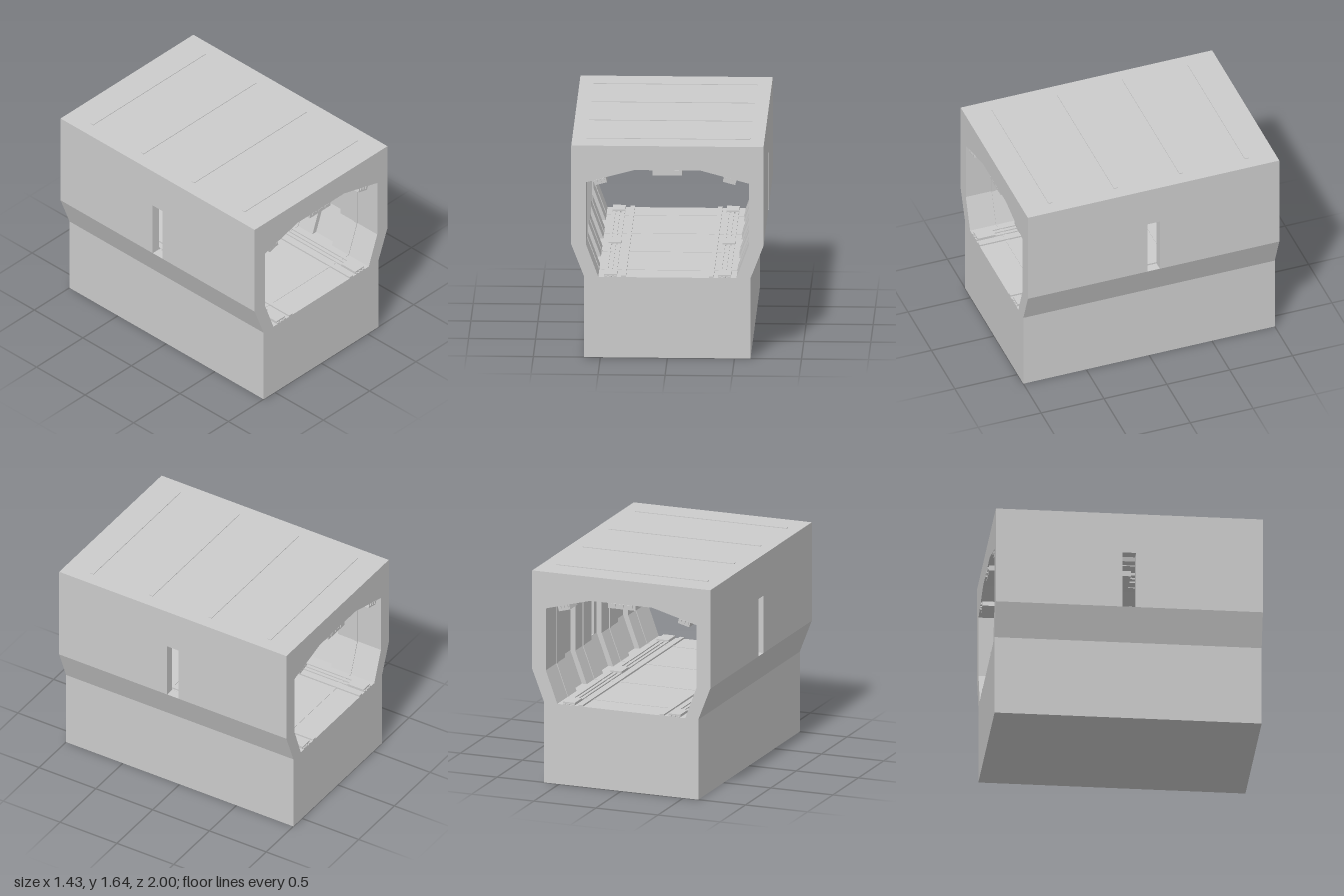
import * as THREE from 'three';

const material = new THREE.MeshStandardMaterial({ color: 0xcccccc, side: THREE.DoubleSide, flatShading: true });

// Half cross-sections (x, y), from bottom to top
const OUTER = [[0.62, 0], [0.62, 0.62], [0.717, 0.87], [0.717, 1.633]];
const INNER = [[0.515, 0.62], [0.607, 0.87], [0.607, 1.35], [0.25, 1.447]];
const LINER = [[0.511, 0.623], [0.601, 0.87], [0.601, 1.346], [0.249, 1.441]];
const WALL = [INNER[0], INNER[1], [0.607, 1.33]];
const DEPTH = 0.04;                                  // depth of the wall recesses
const RECESS_Z = [-0.52, 0, 0.52], RECESS_HALF = 0.1;
const HOOP_Z = [-0.78, -0.26, 0.26, 0.78];
const WINDOW = { half: 0.05, bottom: 0.87, top: 1.315 };

const mirror = pts => pts.map(([x, y]) => [-x, y]).reverse();
const loop = half => [...half, ...mirror(half)].map(([x, y]) => new THREE.Vector2(x, y));
const shift = (pts, d) => pts.map(([x, y]) => [x + d, y]);

function add(parent, name, geometry, x = 0, y = 0, z = 0) {
  const mesh = new THREE.Mesh(geometry, material);
  mesh.name = name;
  mesh.position.set(x, y, z);
  parent.add(mesh);
  return mesh;
}

// Open sheet: a polyline in x, y swept along z
function sheet(pts, z0, z1) {
  const p = [];
  for (let i = 0; i < pts.length - 1; i++) {
    const [a, b] = pts[i], [c, d] = pts[i + 1];
    p.push(a, b, z0, a, b, z1, c, d, z1, a, b, z0, c, d, z1, c, d, z0);
  }
  const g = new THREE.BufferGeometry();
  g.setAttribute('position', new THREE.Float32BufferAttribute(p, 3));
  g.computeVertexNormals();
  return g;
}

// Upright wall face at a given x, optionally pierced by the window
function wallFace(x, y0, y1, halfZ, pierced) {
  const rect = (h, b, t) => [[-h, b], [h, b], [h, t], [-h, t]].map(q => new THREE.Vector2(...q));
  const shape = new THREE.Shape(rect(halfZ, y0, y1));
  if (pierced) shape.holes.push(new THREE.Path(rect(WINDOW.half, WINDOW.bottom + 0.001, WINDOW.top)));
  return new THREE.ShapeGeometry(shape).rotateY(Math.PI / 2).translate(x, 0, 0);
}

function buildSide() {
  const side = new THREE.Group();
  const backX = WALL[1][0] + DEPTH, outX = OUTER[2][0];

  // Outer skin and window reveal
  add(side, 'outerLowerWall', sheet(OUTER.slice(0, 3), -1, 1));
  add(side, 'outerUpperWall', wallFace(outX, 0.87, 1.633, 1, true));
  add(side, 'windowReveal', sheet([[backX, WINDOW.bottom], [outX, WINDOW.bottom]], -WINDOW.half, WINDOW.half));
  add(side, 'windowReveal', sheet([[backX, WINDOW.top], [outX, WINDOW.top]], -WINDOW.half, WINDOW.half));
  for (const z of [-WINDOW.half, WINDOW.half])
    add(side, 'windowJamb', new THREE.PlaneGeometry(outX - backX, WINDOW.top - WINDOW.bottom),
      (outX + backX) / 2, (WINDOW.top + WINDOW.bottom) / 2, z);

  // Inner wall piers between the recesses
  const cuts = [-1, ...RECESS_Z.flatMap(z => [z - RECESS_HALF, z + RECESS_HALF]), 1];
  for (let i = 0; i < cuts.length; i += 2) add(side, 'innerPier', sheet(WALL, cuts[i], cuts[i + 1]));
  add(side, 'slopedCeiling', sheet([WALL[2], INNER[2], INNER[3]], -1, 1));

  // Recesses reaching from floor to just below the ceiling
  const back = shift(WALL, DEPTH);
  const jamb = new THREE.Shape([...WALL, ...[...back].reverse()].map(q => new THREE.Vector2(...q)));
  for (const z of RECESS_Z) {
    const z0 = z - RECESS_HALF, z1 = z + RECESS_HALF;
    add(side, 'recessSlope', sheet(back.slice(0, 2), z0, z1));
    add(side, 'recessBack', wallFace(backX, 0.87, 1.33, RECESS_HALF, z === 0), 0, 0, z);
    add(side, 'recessTop', sheet([WALL[2], back[2]], z0, z1));
    add(side, 'recessFloor', sheet([WALL[0], back[0]], z0, z1));
    for (const e of [z0, z1]) add(side, 'recessJamb', new THREE.ShapeGeometry(jamb), 0, 0, e);
  }

  // Floor rails with raised blocks, and flat ceiling strips
  add(side, 'floorRail', new THREE.BoxGeometry(0.035, 0.012, 2), 0.327, 0.626, 0);
  for (const x of [0.39, 0.425, 0.46])
    add(side, 'floorConduit', new THREE.BoxGeometry(0.02, 0.01, 2), x, 0.624, 0);
  for (const z of [-0.92, 0, 0.92])
    add(side, 'floorBlock', new THREE.BoxGeometry(0.095, 0.022, 0.14), 0.425, 0.629, z);
  for (const z of [-0.52, 0, 0.52])
    add(side, 'ceilingLamp', new THREE.BoxGeometry(0.04, 0.008, 0.3), 0.192, 1.444, z);
  return side;
}

// Ceiling conduits held by clamp blocks, tilted to follow the ceiling
function ceilingRun(name, x, y, width, height, tilt) {
  const run = new THREE.Group();
  run.name = name;
  for (const k of [-0.3, 0, 0.3])
    add(run, 'ceilingConduit', new THREE.BoxGeometry(width * 0.18, height * 0.5, 2), width * k, height * 0.2, 0);
  for (const z of [-0.92, 0, 0.92])
    add(run, 'ceilingClamp', new THREE.BoxGeometry(width, height, 0.14), 0, 0, z);
  run.position.set(x, y, 0);
  run.rotation.z = tilt;
  return run;
}

export function createModel() {
  const model = new THREE.Group();
  model.name = 'corridorSection';

  // Two mirrored sides
  for (const s of [1, -1]) {
    const side = buildSide();
    side.name = s > 0 ? 'leftSide' : 'rightSide';
    side.scale.x = s;
    model.add(side);
  }

  // Ends, roof, base, floor and flat ceiling
  const ring = new THREE.Shape(loop(OUTER));
  ring.holes.push(new THREE.Path(loop(INNER)));
  add(model, 'frontEnd', new THREE.ShapeGeometry(ring), 0, 0, 1);
  add(model, 'backEnd', new THREE.ShapeGeometry(ring).rotateY(Math.PI), 0, 0, -1);
  const spans = { base: OUTER[0], roof: OUTER[3], floor: INNER[0], flatCeiling: INNER[3] };
  for (const [name, [x, y]] of Object.entries(spans)) add(model, name, sheet([[-x, y], [x, y]], -1, 1));

  // Hoops lining the passage, with their tops just proud of the roof
  const hoop = new THREE.Shape(loop(INNER));
  hoop.holes.push(new THREE.Path(loop(LINER)));
  for (const z of HOOP_Z) {
    add(model, 'hoop', new THREE.ExtrudeGeometry(hoop, { depth: 0.03, bevelEnabled: false }), 0, 0, z - 0.015);
    add(model, 'roofStrip', new THREE.BoxGeometry(1.22, 0.012, 0.03), 0, 1.632, z);
  }

  // Ceiling service runs
  model.add(ceilingRun('centreRun', 0, 1.426, 0.22, 0.042, 0));
  model.add(ceilingRun('leftRun', 0.465, 1.368, 0.095, 0.042, -0.262));
  model.add(ceilingRun('rightRun', -0.502, 1.357, 0.095, 0.042, 0.262));
  return model;
}
